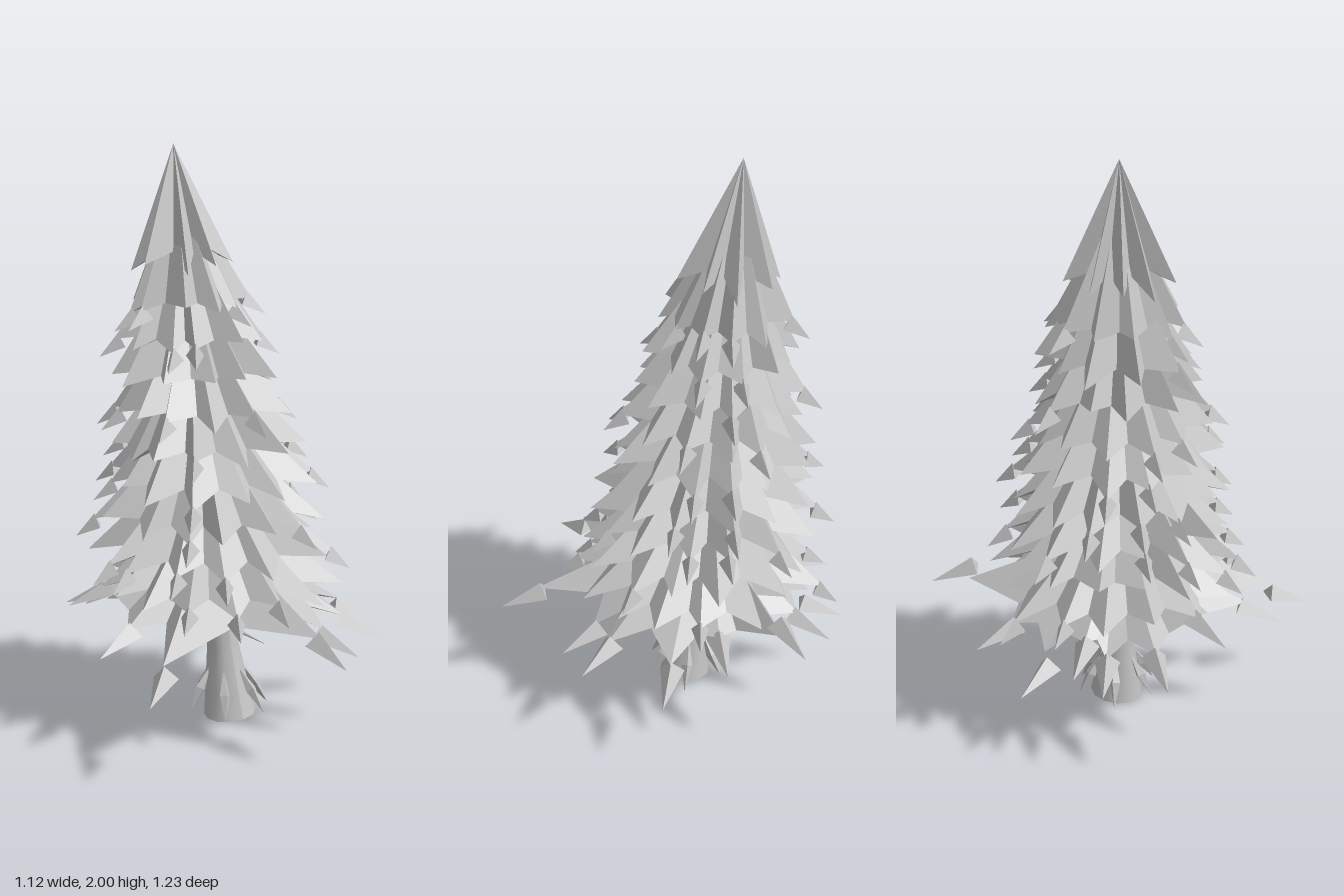
import * as THREE from 'three';

const grey = new THREE.MeshStandardMaterial({ color: 0xc4c4c4 });
grey.name = 'pale grey';

// small seeded random
let seed = 7;
const rand = () => (seed = (seed * 16807) % 2147483647) / 2147483647;
const vary = (v, k) => v * (1 + (rand() * 2 - 1) * k);

// the leaning centre line of the tree
const axisX = (y) => 0.02 - 0.055 * y;
const axisZ = (y) => -0.045 - 0.0925 * y;
const polar = (a, r, y, yAxis = y) =>
  new THREE.Vector3(axisX(yAxis) + r * Math.cos(a), y, axisZ(yAxis) + r * Math.sin(a));

// unshared corners give flat facets
function meshFrom(name, points) {
  const geometry = new THREE.BufferGeometry().setFromPoints(points);
  geometry.computeVertexNormals();
  const mesh = new THREE.Mesh(geometry, grey);
  mesh.name = name;
  return mesh;
}

// closed pleated skirt: apex, alternating tips and valleys, raised underside
function starTier(name, yApex, tips, valleys, yUnder) {
  const apex = polar(0, 0, yApex);
  const under = polar(0, 0, yUnder);
  const rim = tips.flatMap((t, i) => [t, valleys[i]]);
  const points = [];
  rim.forEach((a, i) => {
    const b = rim[(i + 1) % rim.length];
    points.push(apex, b, a, under, a, b);
  });
  return meshFrom(name, points);
}

// drooping three-sided arrowhead whose point is at tip, with its broad end inwards
function arrowhead(points, tip, a, length, width, drop) {
  const out = new THREE.Vector3(Math.cos(a), 0, Math.sin(a));
  const side = new THREE.Vector3(-out.z, 0, out.x);
  const base = tip.clone().addScaledVector(out, -length);
  base.y += drop;
  const left = base.clone().addScaledVector(side, width / 2);
  const right = base.clone().addScaledVector(side, -width / 2);
  left.y -= 0.03;
  right.y -= 0.03;
  base.addScaledVector(out, 0.02).y += 0.015;
  points.push(base, left, tip, base, tip, right, left, right, tip, base, right, left);
}

// envelope of the foliage, linearly interpolated
const envelope = [[0.43, 0.44], [0.6, 0.41], [0.8, 0.37], [1, 0.335], [1.2, 0.285], [1.4, 0.235], [1.6, 0.17]];
function radiusAt(y) {
  const k = Math.max(1, envelope.findIndex(([h]) => h >= y));
  const [y0, r0] = envelope[k - 1], [y1, r1] = envelope[k];
  return r0 + ((r1 - r0) * (y - y0)) / (y1 - y0);
}

function makeTier(y, n, height, valley, lift) {
  const r = radiusAt(y);
  const phase = rand() * Math.PI;
  const tips = [], valleys = [], heads = [];
  for (let i = 0; i < n; i++) {
    const a = phase + ((i + (rand() - 0.5) * 0.4) / n) * Math.PI * 2;
    const b = phase + ((i + 0.5 + (rand() - 0.5) * 0.2) / n) * Math.PI * 2;
    const tr = vary(r, 0.1);
    const ty = y + (rand() - 0.5) * 0.05;
    tips.push(polar(a, tr, ty, y));
    valleys.push(polar(b, vary(r * valley, 0.07), y + lift, y));
    if (y < 1.55 && rand() < 0.5) {
      arrowhead(heads, polar(a, tr + 0.055, ty - 0.06, y), a, 0.085, 0.06, 0.065);
    }
  }
  const group = new THREE.Group();
  group.name = 'branchTier';
  group.add(starTier('needleSkirt', y + height, tips, valleys, y + lift + 0.03));
  if (heads.length) group.add(meshFrom('branchTips', heads));
  return group;
}

// lowest, far-reaching branches
function makeLongBranches() {
  const ends = [
    [0.555, 0.3, 0.075], [0.4, 0.33, 0.34], [0.255, 0.31, 0.405], [0.055, 0.37, 0.615], [-0.54, 0.29, 0.395],
    [-0.56, 0.36, 0.09], [-0.5, 0.43, -0.27], [-0.4, 0.36, -0.5], [-0.2, 0.32, -0.57], [-0.1, 0.37, -0.585],
    [0.08, 0.27, -0.615], [0.3, 0.35, -0.53], [0.555, 0.49, -0.4], [0.5, 0.38, -0.15],
  ].map(([x, y, z]) => new THREE.Vector3(x, y, z));
  const cx = axisX(0.45), cz = axisZ(0.45);
  const angles = ends.map((p) => Math.atan2(p.z - cz, p.x - cx));
  const heads = [], tips = [], valleys = [];
  ends.forEach((p, i) => {
    const a = angles[i];
    let gap = angles[(i + 1) % ends.length] - a;
    if (gap < 0) gap += Math.PI * 2;
    arrowhead(heads, p, a, 0.16, 0.085, 0.075);
    const y = THREE.MathUtils.clamp(p.y + 0.07, 0.385, 0.5);
    tips.push(new THREE.Vector3(p.x - 0.13 * Math.cos(a), y, p.z - 0.13 * Math.sin(a)));
    valleys.push(polar(a + gap / 2, 0.35, 0.44));
  });
  const group = new THREE.Group();
  group.name = 'longBranches';
  group.add(starTier('lowestSkirt', 0.7, tips, valleys, 0.48));
  group.add(meshFrom('longBranchTips', heads));
  return group;
}

// stretched diamond or cone laid between two points
function spike(name, geometry, from, to, radius) {
  const dir = to.clone().sub(from);
  const mesh = new THREE.Mesh(geometry, grey);
  mesh.scale.set(radius, dir.length() / 2, radius);
  mesh.position.copy(from).add(to).multiplyScalar(0.5);
  mesh.quaternion.setFromUnitVectors(new THREE.Vector3(0, 1, 0), dir.normalize());
  mesh.name = name;
  return mesh;
}

export function createModel() {
  const tree = new THREE.Group();
  tree.name = 'firTree';

  // leaning trunk with a flared foot
  const trunkGeometry = new THREE.CylinderGeometry(1, 1, 0.52, 12, 6);
  const p = trunkGeometry.attributes.position;
  for (let i = 0; i < p.count; i++) {
    const y = p.getY(i) + 0.26;
    const r = 0.056 + 0.036 * Math.max(0, 1 - y / 0.26);
    const foot = y < 0.01 ? 0.01 + 0.009 * p.getX(i) : 0;
    p.setXYZ(i, p.getX(i) * r + axisX(y), y + foot, p.getZ(i) * r + axisZ(y));
  }
  trunkGeometry.computeVertexNormals();
  const trunk = new THREE.Mesh(trunkGeometry, grey);
  trunk.name = 'trunk';
  tree.add(trunk);

  // splayed roots
  const diamond = new THREE.OctahedronGeometry(1);
  for (let i = 0; i < 6; i++) {
    const a = 0.1 + (i / 6) * Math.PI * 2;
    tree.add(spike('root', diamond, polar(a, 0.15, 0.02 + 0.015 * (i % 2)), polar(a, 0.055, 0.19), 0.02));
  }

  // bare twigs under the foliage
  const cone = new THREE.ConeGeometry(1, 2, 4);
  for (const [a, y] of [[0.3, 0.36], [-0.6, 0.33], [-1.3, 0.34], [-1.7, 0.31], [0.9, 0.32]]) {
    tree.add(spike('twig', cone, polar(a, 0.05, y), polar(a, 0.17, y - 0.045, y), 0.008));
  }

  // stacked skirts from bottom to top
  tree.add(makeLongBranches());
  const tiers = 9;
  for (let i = 0; i < tiers; i++) {
    const t = i / (tiers - 1);
    tree.add(makeTier(0.5 + 0.96 * t, Math.round(16 - 5 * t), 0.36 + 0.07 * t, 0.76, 0.025));
  }

  // pointed crown
  tree.add(makeTier(1.6, 9, 0.4, 0.6, 0.05));
  return tree;
}
